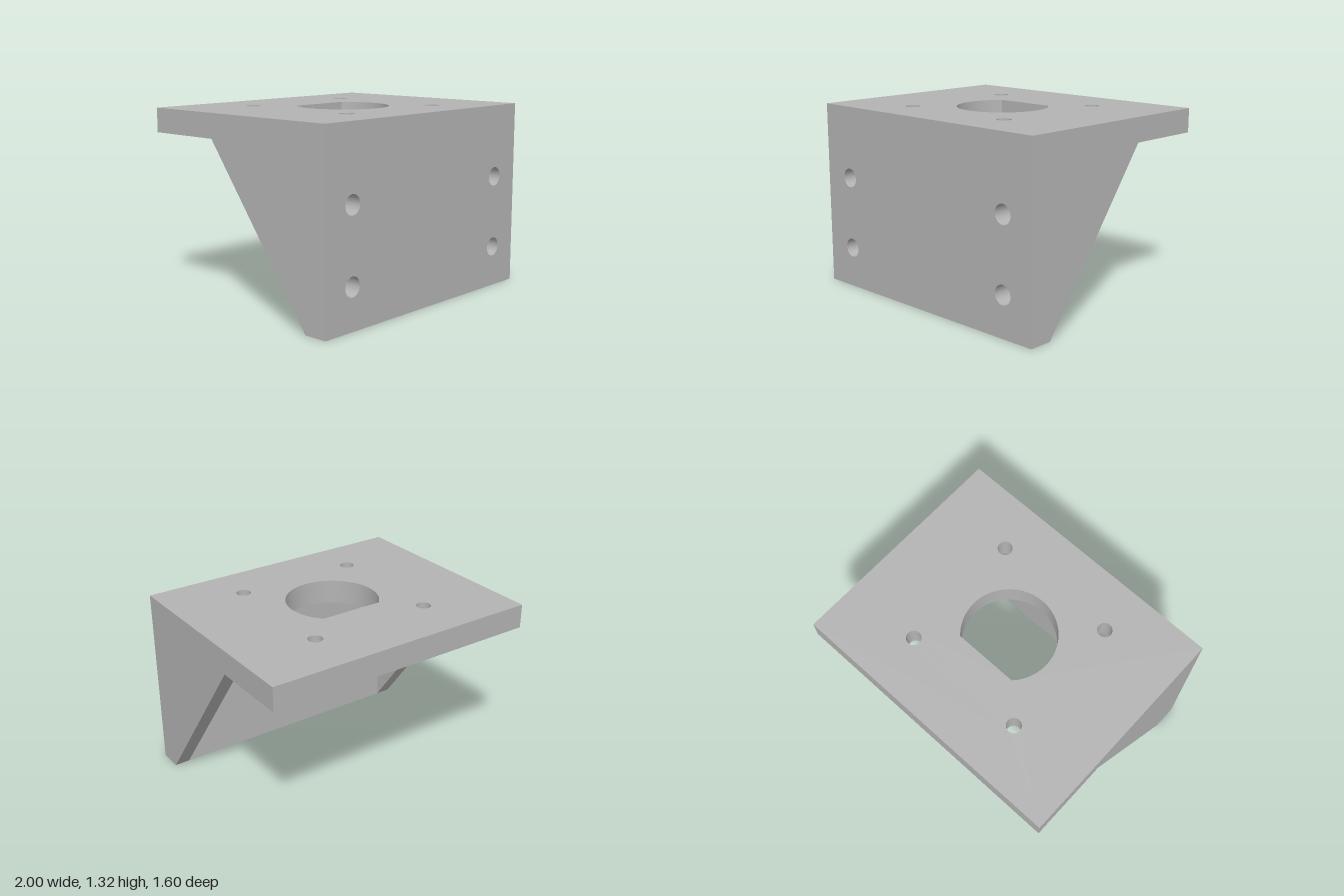
import * as THREE from 'three';
import { toCreasedNormals } from 'three/addons/utils/BufferGeometryUtils.js';

const HEIGHT = 1.315, DEPTH = 1.6, PLATE = 0.17, GUSSET = 0.11;
const UNDER = HEIGHT - PLATE;      // underside of the top plate
const INNER = DEPTH / 2 - PLATE;   // inner face of the front plate

const rectangle = (x0, y0, x1, y1) => new THREE.Shape([
  new THREE.Vector2(x0, y0), new THREE.Vector2(x1, y0),
  new THREE.Vector2(x1, y1), new THREE.Vector2(x0, y1),
]);

const circle = (x, y, r) => new THREE.Path().absarc(x, y, r, 0, Math.PI * 2, true);

// Round hole whose 45 degree tangents meet in a point
function teardrop(x, y, r) {
  const path = new THREE.Path();
  path.moveTo(x, y + r * Math.SQRT2);
  path.absarc(x, y, r, Math.PI / 4, Math.PI * 3 / 4, true);
  path.closePath();
  return path;
}

const extrude = (shape, depth) => toCreasedNormals(
  new THREE.ExtrudeGeometry(shape, { depth, bevelEnabled: false, curveSegments: 32 }), 0.5);

export function createModel() {
  const group = new THREE.Group();
  const grey = new THREE.MeshStandardMaterial({ color: 0xb3b3b3 });
  grey.name = 'grey';

  const add = (name, geometry) => {
    const mesh = new THREE.Mesh(geometry, grey);
    mesh.name = name;
    group.add(mesh);
  };

  // Top plate with teardrop opening and four screw holes (shape y is -z)
  const top = rectangle(-1, -DEPTH / 2, 1, DEPTH / 2);
  top.holes.push(teardrop(0, -0.022, 0.323));
  for (const x of [-0.444, 0.444])
    for (const y of [-0.466, 0.422]) top.holes.push(circle(x, y, 0.051));
  add('topPlate', extrude(top, PLATE).rotateX(-Math.PI / 2).translate(0, UNDER, 0));

  // Front plate with four mounting holes
  const front = rectangle(-1, 0, 1, UNDER);
  for (const x of [-0.757, 0.757])
    for (const y of [0.289, 0.804]) front.holes.push(circle(x, y, 0.067));
  add('frontPlate', extrude(front, PLATE).translate(0, 0, INNER));

  // Triangular gussets joining the plates at both sides (shape x is z)
  const side = new THREE.Shape([
    new THREE.Vector2(INNER, 0), new THREE.Vector2(INNER, UNDER),
    new THREE.Vector2(-0.225, UNDER),
  ]);
  for (const [name, x] of [['leftGusset', 1], ['rightGusset', GUSSET - 1]])
    add(name, extrude(side, GUSSET).rotateY(-Math.PI / 2).translate(x, 0, 0));

  return group;
}
